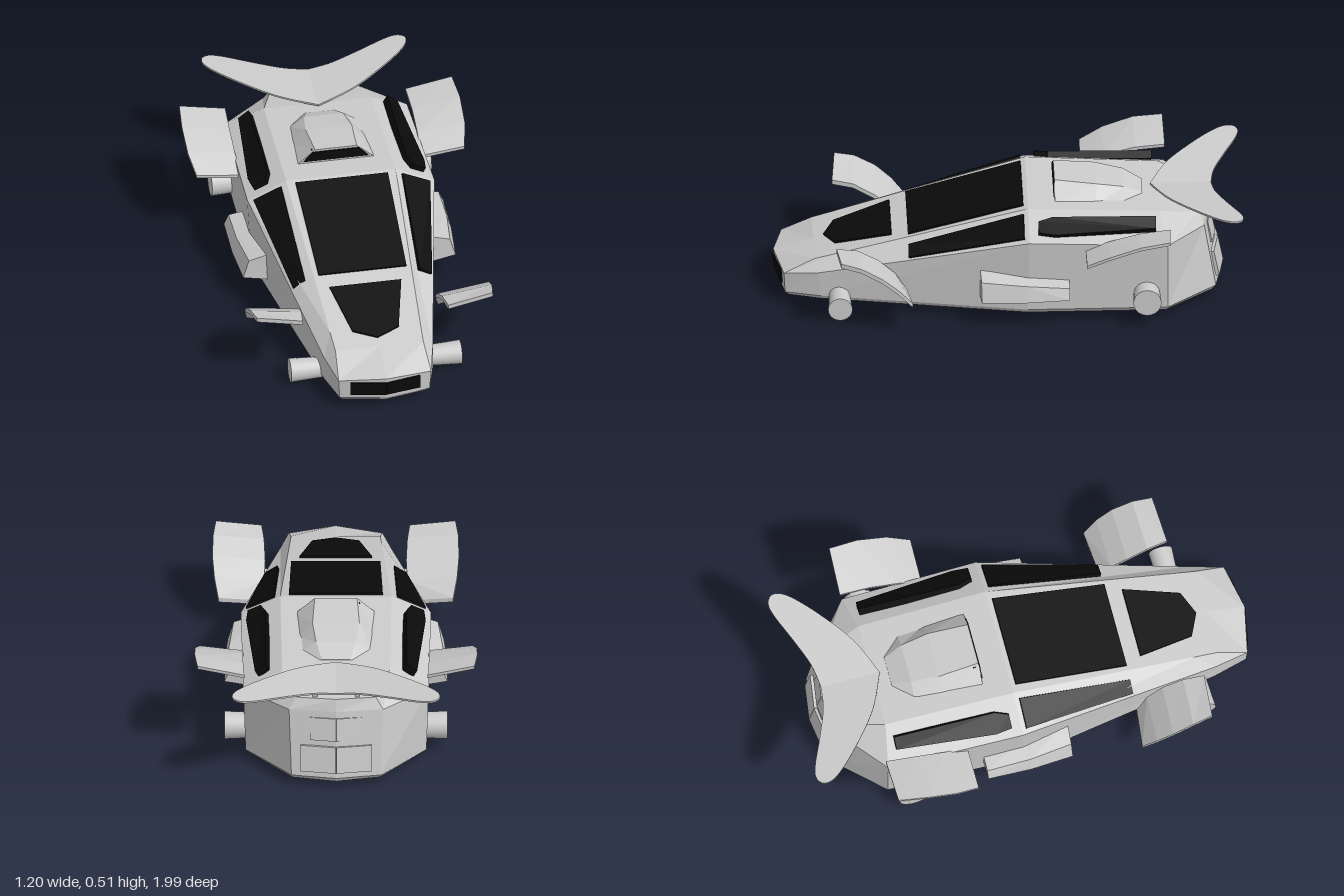
import * as THREE from 'three';

const grey = new THREE.MeshStandardMaterial({ color: 0xcccccc, flatShading: true, side: THREE.DoubleSide });
const smooth = new THREE.MeshStandardMaterial({ color: 0xcccccc });
const black = new THREE.MeshStandardMaterial({ color: 0x0a0a0a, flatShading: true });

// Closed solid through rings of equal point count; faces are turned outward by signed volume
function loft(rings) {
  const n = rings[0].length, P = rings.flat(), idx = [];
  const tri = (a, b, c) => { if (a !== b && b !== c && a !== c) idx.push(a, b, c); };
  for (let r = 0; r < rings.length - 1; r++)
    for (let i = 0; i < n; i++) {
      const a = r * n + i, b = r * n + (i + 1) % n;
      tri(a, b, b + n); tri(a, b + n, a + n);
    }
  const last = (rings.length - 1) * n;
  for (let i = 0; i < n / 2; i++) {
    const j = n - i - 1, k = (n - i) % n;
    tri(i, j, i + 1); tri(i, k, j);
    tri(last + i, last + i + 1, last + j); tri(last + i, last + j, last + k);
  }
  const V = P.map(p => new THREE.Vector3(...p));
  let vol = 0;
  for (let t = 0; t < idx.length; t += 3)
    vol += V[idx[t]].dot(new THREE.Vector3().crossVectors(V[idx[t + 1]], V[idx[t + 2]]));
  if (vol < 0) idx.reverse();
  const g = new THREE.BufferGeometry().setFromPoints(V);
  g.setIndex(idx);
  const flat = g.toNonIndexed();
  flat.computeVertexNormals();
  return flat;
}

// Thin slab standing out of the hull over a flat outline
function plate(points, out = 0.008) {
  const V = points.map(p => new THREE.Vector3(...p));
  const c = V.reduce((s, v) => s.add(v), new THREE.Vector3()).divideScalar(V.length);
  const n = new THREE.Vector3();
  V.forEach((v, i) => n.add(v.clone().sub(c).cross(V[(i + 1) % V.length].clone().sub(c))));
  n.normalize();
  if (n.dot(new THREE.Vector3(c.x, c.y - 0.2, c.z * 0.1)) < 0) n.negate();
  const shift = d => V.map(v => v.clone().addScaledVector(n, d).toArray());
  return loft([shift(-0.015), shift(out)]);
}

// Curved sheet between an inner and an outer edge line
const sheet = (inner, outer, t = 0.012) => loft(inner.map((p, i) => {
  const q = outer[i];
  return [p, q, [q[0], q[1] - t, q[2]], [p[0], p[1] - t, p[2]]];
}));

const hoodY = z => 0.455 - 0.275 * (z + 0.09);
const onHood = pts => pts.map(([x, z]) => [x, hoodY(z), z]);
const mirrorLoop = half => [...half, ...half.slice(1, -1).reverse().map(([x, y, z]) => [-x, y, z])];

export function createModel() {
  const model = new THREE.Group();
  const add = (name, geo, mat = grey) => {
    const m = new THREE.Mesh(geo, mat);
    m.name = name;
    model.add(m);
    return m;
  };
  const pair = (name, geo, mat) => {
    add(name + 'Left', geo, mat);
    add(name + 'Right', geo, mat).scale.x = -1;
  };

  // Hull: outlines from nose centre to tail centre, stacked bottom to roof
  add('hull', loft([
    [[0, .03, .965], [.18, .03, .93], [.22, .03, .8], [.375, .03, -.08], [.37, .03, -.67], [.185, .03, -.875], [0, .03, -.91]],
    [[0, .05, .98], [.195, .05, .945], [.235, .05, .8], [.39, .05, -.08], [.385, .05, -.68], [.19, .05, -.89], [0, .05, -.92]],
    [[0, .155, .99], [.2, .142, .95], [.235, .16, .8], [.405, .375, -.09], [.395, .35, -.68], [.2, .345, -.84], [0, .345, -.86]],
    [[0, .205, .82], [.19, .205, .82], [.195, .232, .72], [.237, .455, -.09], [.23, .43, -.65], [.17, .395, -.82], [0, .398, -.845]],
  ].map(mirrorLoop)));

  // Windows and nose grille
  add('windshield', plate(onHood([[-.2, -.07], [.2, -.07], [.19, .42], [-.19, .42]])), black);
  add('hoodWindow', plate(onHood([[0, .775], [.1, .73], [.155, .49], [-.155, .49], [-.1, .73]])), black);
  pair('sideWindow', plate([[.26, .438, -.07], [.38, .382, -.07], [.298, .258, .42], [.245, .293, .42]]), black);
  pair('rearSideWindow', plate([[.29, .428, -.63], [.335, .392, -.63], [.372, .386, -.2],
    [.365, .394, -.13], [.31, .42, -.13], [.29, .43, -.19]], 0.02), black);
  pair('noseGrille', plate([[0, .07, .982], [.15, .07, .956], [.15, .135, .96], [0, .135, .988]], .005), black);

  // Roof scoop with dark intake
  const scoopRing = (z, xb, yb, xt, yt) => [[-xb, yb, z], [xb, yb, z], [xt, yt, z], [-xt, yt, z]];
  add('roofScoop', loft([
    scoopRing(-.205, .175, .44, .09, .515), scoopRing(-.38, .165, .43, .1, .498),
    scoopRing(-.5, .15, .43, .085, .475), scoopRing(-.58, .08, .425, .06, .437),
  ]));
  add('scoopIntake', loft([scoopRing(-.23, .14, .46, .1, .505), scoopRing(-.2, .14, .46, .1, .505)]), black);

  // Swept rear wing on two struts
  const wing = new THREE.Shape();
  wing.moveTo(0, .615);
  wing.splineThru([[.165, .69], [.32, .81], [.42, .91], [.442, .97], [.41, 1], [.35, .99],
    [.22, .935], [.1, .89], [0, .875]].map(p => new THREE.Vector2(...p)));
  wing.closePath();
  const wingGeo = new THREE.ExtrudeGeometry(wing, { depth: .008, bevelEnabled: false, curveSegments: 28 });
  wingGeo.rotateX(-Math.PI / 2);
  const wp = wingGeo.attributes.position;
  for (let i = 0; i < wp.count; i++) wp.setY(i, wp.getY(i) + .438 + .09 * wp.getX(i));
  wingGeo.computeVertexNormals();
  pair('rearWing', wingGeo);
  pair('wingStrut', new THREE.BoxGeometry(.02, .06, .08).translate(.09, .42, -.78));

  // Curved side fins
  pair('frontFin', sheet(
    [[.315, .315, .73], [.305, .3, .64], [.3, .25, .55], [.305, .19, .48], [.325, .122, .43]],
    [[.51, .345, .715], [.522, .325, .63], [.525, .275, .54], [.517, .215, .47], [.5, .145, .41]], .02));
  pair('rearFin', sheet(
    [[.385, .33, -.33], [.395, .375, -.43], [.395, .41, -.56], [.39, .425, -.69]],
    [[.58, .355, -.33], [.6, .405, -.43], [.602, .45, -.56], [.59, .467, -.685]], .014));

  // Side pods
  pair('sidePod', loft([
    [[.34, .235, .12], [.435, .205, .115], [.46, .12, .115], [.34, .098, .12]],
    [[.36, .215, -.07], [.455, .195, -.07], [.475, .125, -.07], [.36, .108, -.07]],
    [[.37, .195, -.26], [.455, .182, -.26], [.475, .135, -.26], [.37, .115, -.26]],
  ]));

  // Tapered axle thrusters
  const axle = (r0, r1, len, y, z) =>
    new THREE.CylinderGeometry(r1, r0, len, 20).rotateZ(-Math.PI / 2).translate(len / 2, y, z);
  pair('frontThruster', axle(.033, .052, .37, .052, .715), smooth);
  pair('rearThruster', axle(.04, .06, .475, .118, -.59), smooth);

  // Tail panels following the slanted rear face
  const rearZ = (x, y) => -.92 + (y - .05) * .2 + x * .14;
  const tail = (name, w, y0, y1, out) => pair(name, plate(
    [[0, y0], [w, y0], [w, y1], [0, y1]].map(([x, y]) => [x, y, rearZ(x, y)]), out));
  tail('upperTailPanel', .11, .215, .315, .006);
  tail('lowerTailPanel', .15, .075, .19, .012);

  return model;
}
